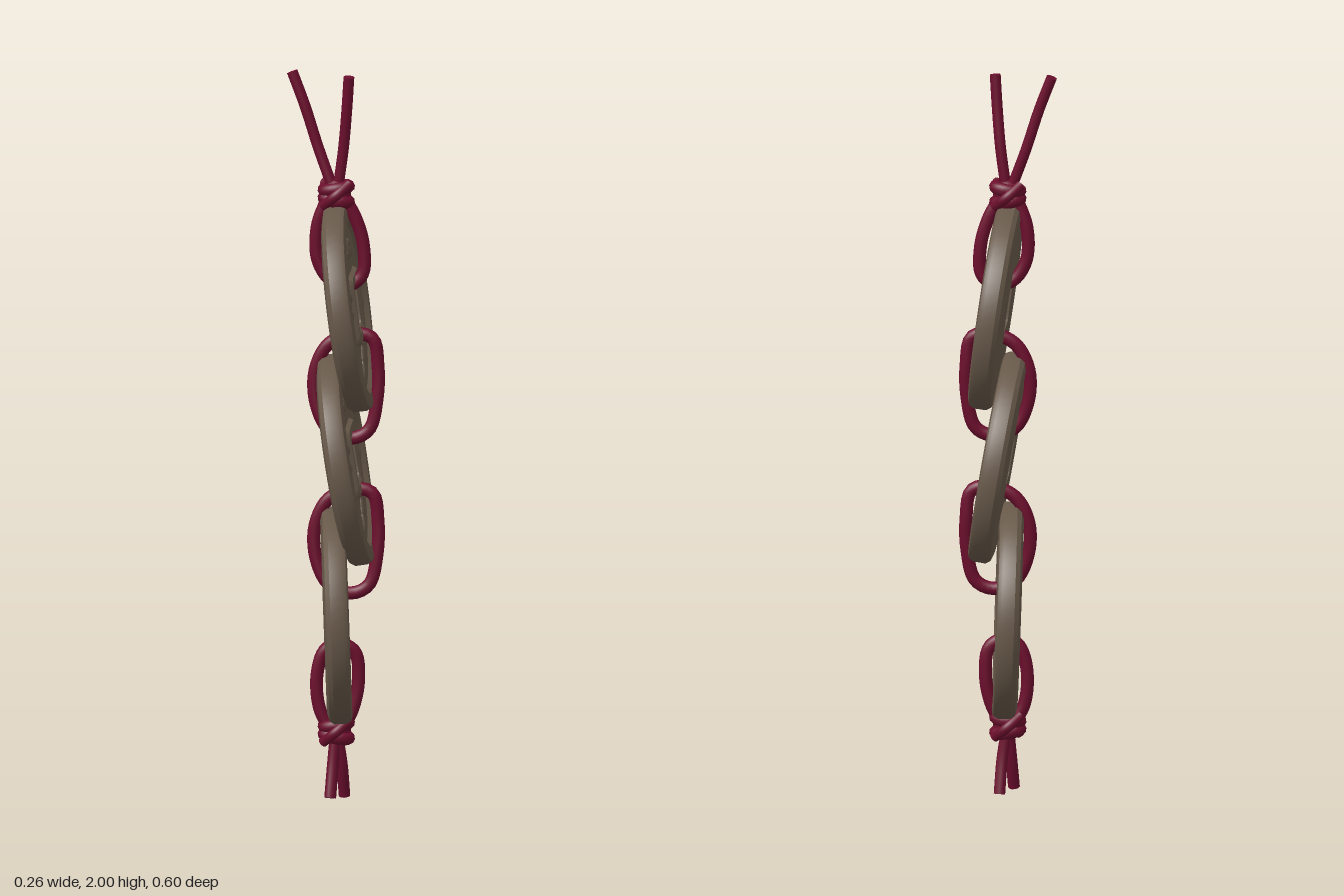
import * as THREE from 'three';
import { toCreasedNormals } from 'three/addons/utils/BufferGeometryUtils.js';

const bronze = new THREE.MeshStandardMaterial({ color: 0x68594a });
bronze.name = 'aged bronze';
const red = new THREE.MeshStandardMaterial({ color: 0x6c0e2d });
red.name = 'dark red cord';

const v = (p) => new THREE.Vector3(...p);

function add(parent, name, geometry, material) {
  const mesh = new THREE.Mesh(geometry, material);
  mesh.name = name;
  parent.add(mesh);
  return mesh;
}

// Closed loft from the hole's back edge, round the rim and back through the hole.
// Each section: [round or square, half size, height]
function coinGeometry() {
  const sections = [
    ['square', 0.06, -0.034], ['round', 0.262, -0.034], ['round', 0.284, -0.028],
    ['round', 0.293, -0.016], ['round', 0.293, 0.018], ['round', 0.286, 0.03],
    ['round', 0.274, 0.034], ['round', 0.245, 0.033], ['round', 0.232, 0.02],
    ['square', 0.1, 0.02], ['square', 0.093, 0.031], ['square', 0.07, 0.031],
    ['square', 0.06, 0.024],
  ];
  const n = 64, count = sections.length, positions = [], index = [];
  for (const [kind, size, z] of sections) {
    for (let j = 0; j < n; j++) {
      const a = (j / n) * Math.PI * 2, c = Math.cos(a), s = Math.sin(a);
      const square = Math.min(1.34, 1 / Math.max(Math.abs(c), Math.abs(s)));
      const r = size * (kind === 'square' ? square : 1);
      positions.push(r * c, r * s, z);
    }
  }
  for (let i = 0; i < count; i++) {
    for (let j = 0; j < n; j++) {
      const k = ((i + 1) % count) * n, m = (j + 1) % n;
      const a = i * n + j, b = i * n + m, c = k + j, d = k + m;
      index.push(a, b, c, b, d, c);
    }
  }
  const g = new THREE.BufferGeometry();
  g.setAttribute('position', new THREE.Float32BufferAttribute(positions, 3));
  g.setIndex(index);
  return toCreasedNormals(g, 0.6).rotateY(Math.PI / 2);
}

// Worn abstract bumps on the field, on four sides of the hole
function addRelief(coin) {
  let seed = 7;
  const rand = () => (seed = (seed * 16807) % 2147483647) / 2147483647;
  for (let i = 0; i < 16; i++) {
    const side = (i % 4) * Math.PI / 2;
    const along = 0.125 + rand() * 0.075, across = (rand() - 0.5) * 0.12;
    const bump = add(coin, 'wornRelief', new THREE.IcosahedronGeometry(1, 1), bronze);
    bump.scale.set(0.008, 0.01 + rand() * 0.01, 0.018 + rand() * 0.016);
    bump.position.set(0.02,
      Math.sin(side) * along + Math.cos(side) * across,
      Math.cos(side) * along - Math.sin(side) * across);
    bump.rotation.x = rand() * Math.PI;
  }
}

// Round cord along a curve, with flat end caps when open
function addCord(parent, name, points, radius, closed = false) {
  const curve = new THREE.CatmullRomCurve3(points.map(v), closed);
  add(parent, name, new THREE.TubeGeometry(curve, 48, radius, 10, closed), red);
  if (closed) return;
  for (const t of [0, 1]) {
    const cap = add(parent, name + 'End', new THREE.CircleGeometry(radius, 10), red);
    const dir = curve.getTangentAt(t).multiplyScalar(t ? 1 : -1);
    cap.position.copy(curve.getPointAt(t));
    cap.quaternion.setFromUnitVectors(new THREE.Vector3(0, 0, 1), dir);
  }
}

// Bulky wrapped knot
function addKnot(parent, name, y) {
  const knot = new THREE.Group();
  knot.name = name;
  knot.position.set(0, y, -0.002);
  knot.scale.z = 0.78;
  const core = add(knot, 'knotCore', new THREE.SphereGeometry(0.04, 16, 12), red);
  core.scale.y = 1.05;
  [-1, 1].forEach((s) => {
    const wrap = add(knot, 'knotWrap', new THREE.TorusGeometry(0.033, 0.018, 10, 24), red);
    wrap.position.y = s * 0.016;
    wrap.rotation.set(Math.PI / 2, s * 0.16, 0);
  });
  addCord(knot, 'knotCross', [[-0.035, -0.03, 0.025], [0, 0, 0.05], [0.036, 0.03, 0.022]], 0.014);
  addCord(knot, 'knotCross', [[0.035, -0.03, -0.025], [0, 0, -0.05], [-0.036, 0.03, -0.022]], 0.014);
  parent.add(knot);
}

export function createModel() {
  const model = new THREE.Group();
  model.name = 'coinCharm';

  // Three overlapping coins: centre, tilt, yaw, height scale
  const geometry = coinGeometry();
  const coins = [
    ['topCoin', [0.032, 1.352, 0.003], 0.135, 0, 0.965],
    ['middleCoin', [0.025, 0.932, -0.005], 0.165, 0.01, 0.98],
    ['bottomCoin', [0, 0.506, 0.004], 0.035, 0.08, 1],
  ];
  for (const [name, centre, tilt, yaw, scale] of coins) {
    const coin = new THREE.Group();
    coin.name = name;
    coin.position.set(...centre);
    coin.rotation.set(0, yaw, tilt);
    coin.scale.y = scale;
    add(coin, 'coinBody', geometry, bronze);
    addRelief(coin);
    model.add(coin);
  }

  // Cord loops linking one coin to the next
  for (const [name, y] of [['upperLink', 0], ['lowerLink', -0.425]]) {
    addCord(model, name, [
      [0.05, 1.278, -0.008], [0.098, 1.265, -0.008], [0.112, 1.19, -0.01],
      [0.11, 1.1, -0.006], [0.088, 1.015, -0.002], [0.04, 0.992, 0],
      [-0.02, 1.015, 0], [-0.056, 1.09, -0.004], [-0.057, 1.18, -0.008],
      [-0.02, 1.25, -0.008],
    ].map(([a, b, c]) => [a, b + y, c]), 0.018, true);
  }

  // End loops running into the knots
  addCord(model, 'topLoop', [
    [0.015, 1.66, 0], [0.05, 1.6, -0.004], [0.073, 1.52, -0.006], [0.07, 1.44, -0.005],
    [0.035, 1.412, -0.003], [-0.015, 1.425, -0.003], [-0.05, 1.48, -0.003],
    [-0.052, 1.57, -0.003], [-0.02, 1.66, 0],
  ], 0.018);
  addCord(model, 'bottomLoop', [
    [0.015, 0.19, 0], [0.045, 0.25, -0.004], [0.06, 0.33, -0.006], [0.05, 0.405, -0.004],
    [0.01, 0.428, 0], [-0.03, 0.41, 0], [-0.052, 0.34, 0],
    [-0.045, 0.25, 0], [-0.015, 0.19, 0],
  ], 0.018);

  addKnot(model, 'topKnot', 1.662);
  addKnot(model, 'bottomKnot', 0.19);

  // Loose cord tails
  addCord(model, 'topTailRight', [[-0.01, 1.68, 0], [-0.05, 1.79, -0.01], [-0.085, 1.9, -0.012], [-0.12, 1.993, -0.017]], 0.015);
  addCord(model, 'topTailLeft', [[0.005, 1.68, 0], [0.02, 1.79, 0.004], [0.03, 1.9, 0.016], [0.036, 1.988, 0.024]], 0.015);
  addCord(model, 'bottomTailFront', [[0, 0.19, 0], [-0.008, 0.1, 0.01], [-0.014, 0.01, 0.032]], 0.016);
  addCord(model, 'bottomTailBack', [[0, 0.19, 0], [0.014, 0.1, -0.01], [0.02, 0.005, -0.034]], 0.016);

  return model;
}
